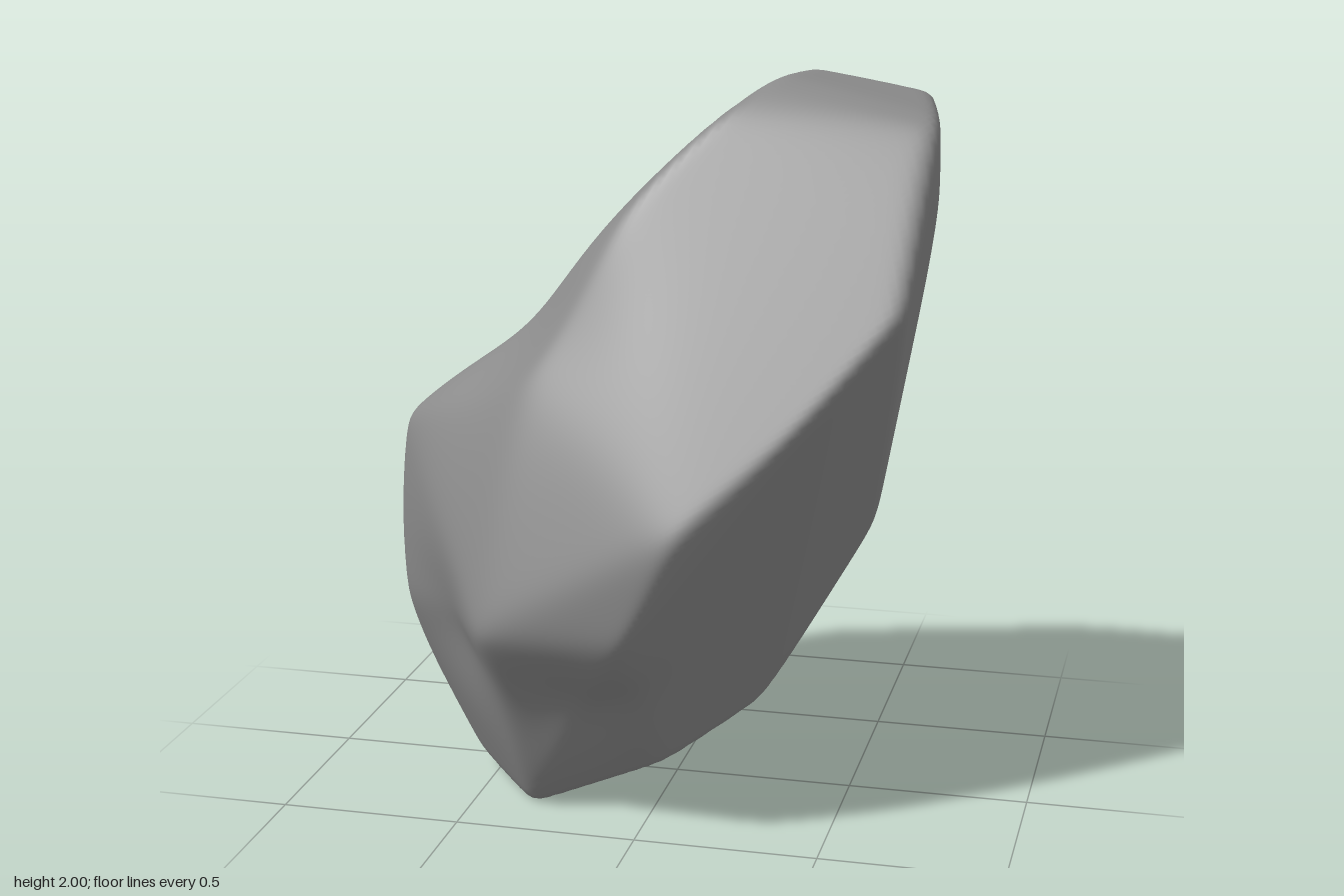
import * as THREE from 'three';
import { ConvexGeometry } from 'three/addons/geometries/ConvexGeometry.js';
import { mergeVertices } from 'three/addons/utils/BufferGeometryUtils.js';

const point = (c) => new THREE.Vector3(...c);

// Corners of the boulder, grouped by region
const corners = [
  // top
  [0.28, 2.0, 0.04], [0.33, 1.99, -0.17], [0.65, 1.94, -0.18], [0.72, 1.9, 0.14],
  // front
  [0.69, 1.7, 0.29], [0.69, 1.46, 0.42], [0.43, 1.16, 0.6], [0.16, 0.92, 0.73], [0.03, 0.62, 0.7],
  [-0.38, 0.61, 0.67], [-0.3, 1.26, 0.49], [-0.03, 1.71, 0.32], [0.14, 1.9, 0.2],
  // left side
  [-0.68, 1.09, 0.29], [-0.72, 0.8, 0.26], [-0.72, 0.53, 0.24], [-0.67, 0.29, 0.1],
  [-0.66, 1.06, -0.28], [-0.69, 0.64, -0.24], [-0.63, 0.38, -0.15],
  // back
  [0.13, 1.7, -0.38], [-0.19, 0.82, -0.73], [-0.18, 0.53, -0.65],
  // right side
  [0.67, 1.6, -0.28], [0.6, 1.25, -0.38], [0.51, 0.94, -0.46], [0.53, 0.74, -0.18],
  // underside
  [0.22, 0.19, -0.14], [0, 0.08, 0.12], [-0.34, 0, 0.31], [-0.57, 0.06, 0.07], [-0.2, 0.23, -0.41],
].map(point);

// Shallow hollows: position, depth, width
const hollows = [
  { at: point([-0.36, 1.37, 0.27]), depth: 0.05, width: 0.28 },
  { at: point([-0.36, 1.36, -0.1]), depth: 0.03, width: 0.28 },
  { at: point([-0.16, 0.32, 0.5]), depth: 0.055, width: 0.2 },
  { at: point([-0.56, 0.52, 0.45]), depth: 0.045, width: 0.2 },
];

const CENTRE = point([0, 0.95, 0]);
const SHARPNESS = 65;
const SWELL = 1.02; // makes up for the worn corners

// Facet planes of the hull, as normal / distance from the centre, without duplicates
function facetPlanes() {
  const pos = new ConvexGeometry(corners).getAttribute('position');
  const planes = [];
  const tri = new THREE.Triangle();
  for (let i = 0; i < pos.count; i += 3) {
    tri.setFromAttributeAndIndices(pos, i, i + 1, i + 2);
    const n = tri.getNormal(new THREE.Vector3());
    n.divideScalar(n.dot(tri.a.clone().sub(CENTRE)));
    if (!planes.some((p) => p.distanceTo(n) < 0.04)) planes.push(n);
  }
  return planes;
}

// Sphere pushed out to the facets, with softly worn edges
function boulderGeometry() {
  const planes = facetPlanes();
  let geo = new THREE.IcosahedronGeometry(1, 60);
  geo.deleteAttribute('normal');
  geo.deleteAttribute('uv');
  geo = mergeVertices(geo, 1e-5);
  const pos = geo.getAttribute('position');
  const dir = new THREE.Vector3();
  const p = new THREE.Vector3();
  for (let i = 0; i < pos.count; i++) {
    dir.fromBufferAttribute(pos, i).normalize();
    let sum = 0;
    for (const n of planes) sum += Math.max(0, n.dot(dir)) ** SHARPNESS;
    p.copy(dir).multiplyScalar(SWELL * sum ** (-1 / SHARPNESS)).add(CENTRE);
    let dent = 0;
    for (const h of hollows) dent += h.depth * Math.exp(-p.distanceToSquared(h.at) / h.width ** 2);
    p.addScaledVector(dir, -dent);
    pos.setXYZ(i, p.x, p.y, p.z);
  }
  // stand it on the ground
  geo.computeBoundingBox();
  geo.translate(0, -geo.boundingBox.min.y, 0);
  geo.computeVertexNormals();
  return geo;
}

export function createModel() {
  const stone = new THREE.MeshStandardMaterial({ color: 0x8a8a8a });
  stone.name = 'stone grey';
  const boulder = new THREE.Mesh(boulderGeometry(), stone);
  boulder.name = 'boulder';
  const group = new THREE.Group();
  group.name = 'rock';
  group.add(boulder);
  return group;
}
